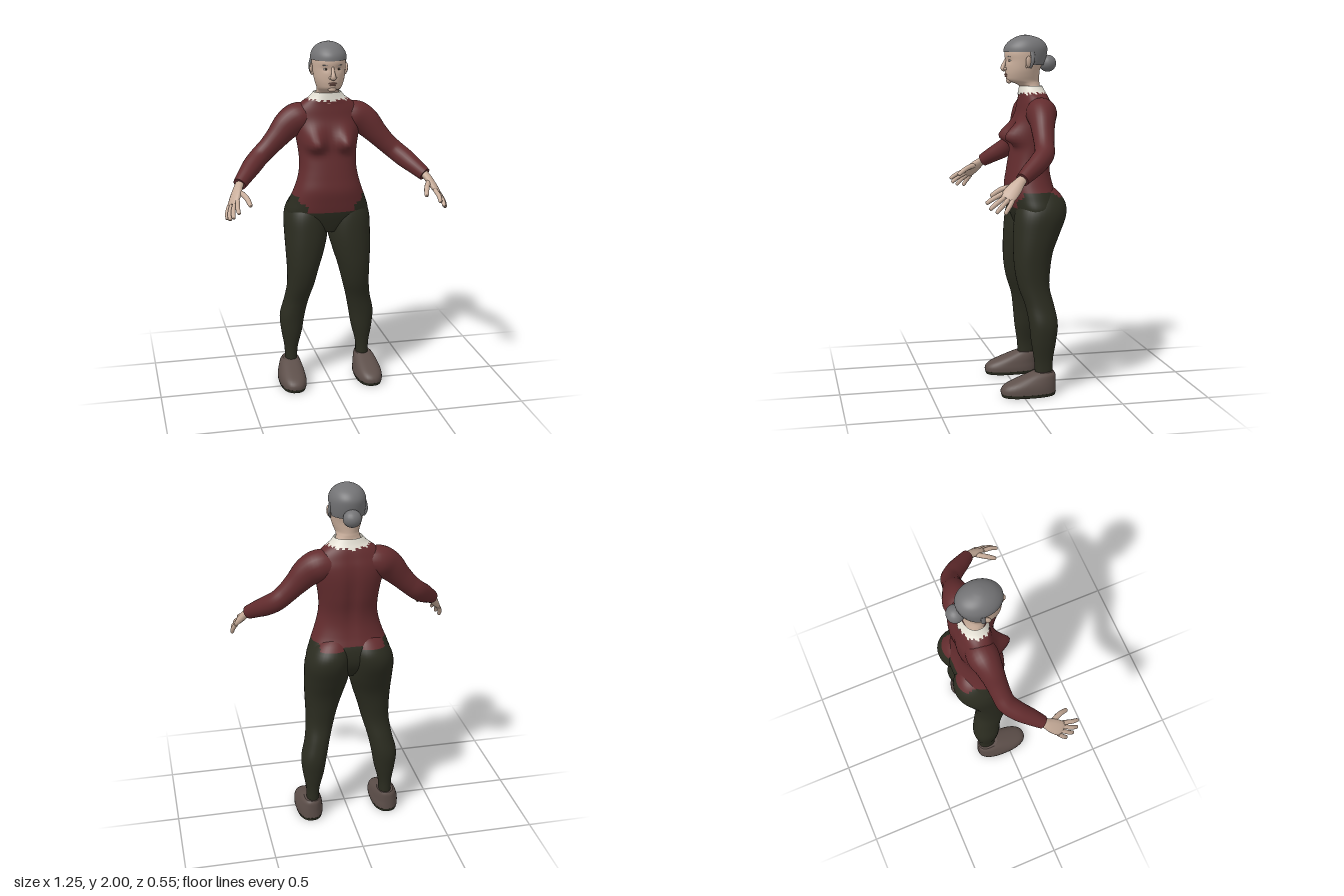
import * as THREE from 'three';

const mat = (name, color) => Object.assign(new THREE.MeshStandardMaterial({ color }), { name });

// Catmull-Rom interpolation of whole rows of numbers, t in 0..1
function rowAt(rows, t) {
  const n = rows.length - 1, s = Math.min(t * n, n - 1e-6), i = Math.floor(s), u = s - i;
  const [a, b, c, d] = [-1, 0, 1, 2].map(k => rows[Math.min(n, Math.max(0, i + k))]);
  return b.map((_, k) => 0.5 * (2 * b[k] + (c[k] - a[k]) * u
    + (2 * a[k] - 5 * b[k] + 4 * c[k] - d[k]) * u * u + (3 * b[k] - a[k] - 3 * c[k] + d[k]) * u ** 3));
}

// Closed-ring surface with capped ends; pick(x, y, z, j) gives the material index of a face, -1 drops it
function surface(rings, segs, point, pick = () => 0, caps = true) {
  const pos = [], faces = {};
  const put = v => pos.push(v.x, v.y, v.z) / 3 - 1;
  const face = (j, ...ids) => {
    const c = [0, 1, 2].map(k => ids.reduce((s, i) => s + pos[i * 3 + k], 0) / ids.length);
    const m = pick(...c, j);
    if (m < 0) return;
    const list = faces[m] ??= [];
    list.push(ids[0], ids[1], ids[2]);
    if (ids.length === 4) list.push(ids[0], ids[2], ids[3]);
  };
  for (let i = 0; i <= rings; i++)
    for (let j = 0; j < segs; j++) put(point(i / rings, j / segs * Math.PI * 2));
  for (let i = 0; i < rings; i++)
    for (let j = 0; j < segs; j++) {
      const k = (j + 1) % segs, a = i * segs, b = a + segs;
      face(j, a + j, b + j, b + k, a + k);
    }
  if (caps) for (const end of [0, 1]) {
    const ring = [], mid = new THREE.Vector3();
    for (let j = 0; j < segs; j++) {
      const v = point(end, j / segs * Math.PI * 2);
      ring.push(put(v));
      mid.addScaledVector(v, 1 / segs);
    }
    const c = put(mid);
    ring.forEach((r, j) => {
      const q = ring[(j + 1) % segs];
      end ? face(j, r, c, q) : face(j, r, q, c);
    });
  }
  const g = new THREE.BufferGeometry(), index = [];
  for (const m in faces) {
    g.addGroup(index.length, faces[m].length, +m);
    index.push(...faces[m]);
  }
  g.setAttribute('position', new THREE.Float32BufferAttribute(pos, 3));
  g.setIndex(index);
  g.computeVertexNormals();
  return g;
}

// Upright loft; rows are [y, centreX, halfWidth, zFront, zBack]
function loft(rows, { rings = 40, segs = 36, power = 2, pick, bump = () => 0, caps = true } = {}) {
  const pw = v => Math.sign(v) * Math.abs(v) ** (2 / power);
  return surface(rings, segs, (t, a) => {
    const [y, cx, rx, zf, zb] = rowAt(rows, t);
    const x = cx + rx * pw(Math.cos(a)), s = pw(Math.sin(a));
    return new THREE.Vector3(x, y, (zf + zb) / 2 + (zf - zb) / 2 * s + bump(x, y, s));
  }, pick, caps);
}

// Tube along a path; rows are [x, y, z, radius along wide, radius across]
function sweep(rows, wide, rings = 12, segs = 12) {
  const at = t => new THREE.Vector3(...rowAt(rows, t).slice(0, 3));
  return surface(rings, segs, (t, a) => {
    const r = rowAt(rows, t);
    const T = at(Math.min(1, t + 0.01)).sub(at(Math.max(0, t - 0.01))).normalize();
    const A = wide.clone().addScaledVector(T, -wide.dot(T)).normalize();
    const B = A.clone().cross(T);
    return new THREE.Vector3(r[0], r[1], r[2])
      .addScaledVector(A, r[3] * Math.cos(a)).addScaledVector(B, r[4] * Math.sin(a));
  });
}

const ball = (x, y, z, rx, ry, rz, turn = 0) =>
  new THREE.SphereGeometry(1, 20, 14).scale(rx, ry, rz).rotateY(turn).translate(x, y, z);

function mirrored(geo) {
  const g = geo.clone().scale(-1, 1, 1), ix = g.index.array;
  for (let i = 0; i < ix.length; i += 3) [ix[i], ix[i + 1]] = [ix[i + 1], ix[i]];
  g.computeVertexNormals();
  return g;
}

export function createModel() {
  const model = new THREE.Group();
  model.name = 'standingWoman';
  const skin = mat('skin', 0xc9ae9b), sweater = mat('sweater red', 0x632c2e), pants = mat('trouser olive', 0x2b2c20);
  const hair = mat('hair grey', 0x737375), shoe = mat('shoe brown', 0x5d4f4a), cloth = mat('collar white', 0xe2ded2);
  const lip = mat('lip', 0x9d7366), eyeWhite = mat('eye white', 0xd8d2ca), dark = mat('eye dark', 0x33281f);
  hair.side = cloth.side = THREE.DoubleSide;

  const add = (name, geo, m) => {
    const mesh = new THREE.Mesh(geo, m);
    mesh.name = name;
    model.add(mesh);
  };
  const pair = (name, geo, m) => {
    add(name + 'Left', geo, m);
    add(name + 'Right', mirrored(geo), m);
  };

  // Stepped sweater hem shared by torso and legs
  const hemPick = (x, y, z) => {
    const w = Math.abs(x);
    const hem = w > 0.18 ? 1.135 : z > -0.1 ? (w < 0.14 ? 1.05 : 1.1) : (w < 0.05 ? 1.13 : 1.1);
    return y > hem ? 0 : 1;
  };
  const bust = (x, y, s) => {
    const dy = y - 1.435, fall = Math.exp(-((dy / (dy > 0 ? 0.07 : 0.036)) ** 2));
    const breast = 0.075 * fall * Math.exp(-(((Math.abs(x) - 0.088) / 0.05) ** 2));
    const spine = 0.014 * Math.exp(-((x / 0.03) ** 2)) * Math.exp(-(((y - 1.4) / 0.2) ** 2));
    return s > 0 ? breast * Math.min(1, s * 1.6) : spine * -s;
  };

  // Torso
  add('torso', loft([
    [0.92, 0, 0.08, -0.02, -0.17], [0.97, 0, 0.19, 0, -0.215], [1.03, 0, 0.237, 0.02, -0.24],
    [1.1, 0, 0.22, 0.035, -0.238], [1.17, 0, 0.193, 0.045, -0.215], [1.24, 0, 0.172, 0.036, -0.2],
    [1.31, 0, 0.162, 0.025, -0.2], [1.4, 0, 0.167, 0.01, -0.215], [1.5, 0, 0.185, -0.003, -0.223],
    [1.57, 0, 0.195, -0.022, -0.217], [1.62, 0, 0.18, -0.03, -0.202], [1.655, 0, 0.15, -0.035, -0.19],
    [1.68, 0, 0.115, -0.037, -0.177], [1.695, 0, 0.08, -0.045, -0.16],
  ], { rings: 70, segs: 56, power: 2.3, pick: hemPick, bump: bust }), [sweater, pants]);

  // Legs and seat
  pair('leg', loft([
    [0.09, 0.216, 0.037, -0.075, -0.172], [0.13, 0.217, 0.036, -0.075, -0.175], [0.2, 0.216, 0.039, -0.07, -0.178],
    [0.3, 0.212, 0.06, -0.055, -0.195], [0.4, 0.207, 0.072, -0.045, -0.206], [0.5, 0.185, 0.071, -0.028, -0.19],
    [0.6, 0.164, 0.078, 0.006, -0.168], [0.7, 0.151, 0.091, 0.025, -0.174], [0.8, 0.138, 0.109, 0.03, -0.192],
    [0.9, 0.127, 0.123, 0.028, -0.232], [1, 0.123, 0.126, 0.018, -0.27], [1.07, 0.113, 0.115, -0.005, -0.27],
    [1.13, 0.1, 0.085, -0.05, -0.235], [1.16, 0.09, 0.05, -0.08, -0.2],
  ], { rings: 54, power: 2.15, pick: hemPick }), [sweater, pants]);

  // Shoes with dark soles
  pair('shoe', loft([
    [0.015, 0.228, 0.077, 0.122, -0.19], [0.04, 0.228, 0.078, 0.122, -0.19], [0.065, 0.228, 0.074, 0.1, -0.19],
    [0.09, 0.226, 0.067, 0.045, -0.19], [0.115, 0.224, 0.057, -0.02, -0.189], [0.13, 0.22, 0.046, -0.06, -0.182],
  ], { rings: 16, power: 2.4 }), shoe);
  pair('sole', loft([[0, 0.228, 0.073, 0.117, -0.186], [0.018, 0.228, 0.078, 0.123, -0.191]],
    { rings: 2, power: 2.4 }), pants);

  // Sleeved arms
  pair('sleeve', sweep([
    [0.1, 1.575, -0.125, 0.075, 0.075], [0.165, 1.57, -0.12, 0.088, 0.085], [0.225, 1.535, -0.11, 0.082, 0.072],
    [0.285, 1.472, -0.1, 0.066, 0.06], [0.34, 1.415, -0.092, 0.057, 0.054], [0.39, 1.37, -0.08, 0.055, 0.054],
    [0.44, 1.328, -0.035, 0.054, 0.052], [0.485, 1.29, 0.02, 0.046, 0.046], [0.527, 1.253, 0.072, 0.038, 0.036],
  ], new THREE.Vector3(0.5, 1, 0), 40, 24), sweater);

  // Hands: palm, four fingers and thumb
  const across = new THREE.Vector3(-0.045, 0.035, 0.06);
  pair('palm', sweep([
    [0.515, 1.265, 0.055, 0.026, 0.023], [0.535, 1.243, 0.085, 0.029, 0.022], [0.553, 1.212, 0.118, 0.04, 0.021],
    [0.572, 1.178, 0.152, 0.043, 0.017], [0.58, 1.163, 0.167, 0.037, 0.011],
  ], across), skin);
  const fingers = [
    ['indexFinger', [0.554, 1.188, 0.182], [0.562, 1.165, 0.232], [0.56, 1.142, 0.266]],
    ['middleFinger', [0.568, 1.174, 0.17], [0.585, 1.142, 0.22], [0.587, 1.115, 0.252]],
    ['ringFinger', [0.583, 1.163, 0.155], [0.6, 1.128, 0.195], [0.603, 1.098, 0.222]],
    ['littleFinger', [0.594, 1.155, 0.138], [0.609, 1.12, 0.162], [0.612, 1.092, 0.18]],
    ['thumb', [0.54, 1.225, 0.115], [0.508, 1.205, 0.178], [0.492, 1.172, 0.226]],
  ];
  for (const [name, a, b, c] of fingers) {
    const tip = c.map((v, k) => v + (c[k] - b[k]) * 0.12);
    const r = name === 'thumb' ? 0.0145 : 0.0125;
    pair(name, sweep([[...a, r, r], [...b, r, r], [...c, r * 0.8, r * 0.8], [...tip, r * 0.25, r * 0.25]], across, 12, 10), skin);
  }

  // Neck and head, with shallow eye sockets
  const sockets = (x, y, s) => s < 0 ? 0
    : -0.007 * Math.exp(-(((Math.abs(x) - 0.036) / 0.02) ** 2) - ((y - 1.86) / 0.014) ** 2);
  add('head', loft([
    [1.66, 0, 0.1, -0.035, -0.175], [1.69, 0, 0.076, -0.042, -0.158], [1.715, 0, 0.066, -0.038, -0.15],
    [1.733, 0, 0.063, -0.008, -0.148], [1.748, 0, 0.067, 0.033, -0.146], [1.775, 0, 0.077, 0.044, -0.146],
    [1.81, 0, 0.086, 0.047, -0.15], [1.86, 0, 0.092, 0.047, -0.168], [1.9, 0, 0.094, 0.05, -0.18],
    [1.94, 0, 0.088, 0.036, -0.175], [1.97, 0, 0.065, 0, -0.14], [1.985, 0, 0.03, -0.03, -0.1],
  ], { rings: 60, segs: 48, bump: sockets }), skin);

  // Ragged collar
  add('collar', loft([
    [1.652, 0, 0.155, -0.029, -0.197], [1.675, 0, 0.124, -0.03, -0.184], [1.692, 0, 0.1, -0.032, -0.174],
    [1.718, 0, 0.078, -0.035, -0.162],
  ], { rings: 12, segs: 48, power: 2.15, caps: false,
    pick: (x, y, z, j) => y > 1.664 + [0, 0.006, 0.013, 0.004, 0.01][j % 5] + Math.abs(x) * 0.08 ? 0 : -1 }), [cloth]);

  // Hair cap, bun and locks round the ears
  add('hairCap', loft([
    [1.8, 0, 0.086, 0.045, -0.155], [1.85, 0, 0.096, 0.052, -0.177], [1.9, 0, 0.1, 0.056, -0.19],
    [1.935, 0, 0.096, 0.05, -0.19], [1.965, 0, 0.08, 0.024, -0.17], [1.985, 0, 0.056, -0.008, -0.137],
    [1.997, 0, 0.026, -0.04, -0.095], [2, 0, 0.005, -0.06, -0.072],
  ], { rings: 40, segs: 48,
    pick: (x, y, z) => y > (z > -0.085 ? 1.903 + Math.max(0, 0.02 - Math.abs(x)) * 0.3 : 1.832) ? 0 : -1 }), [hair]);
  add('bun', ball(0, 1.843, -0.196, 0.05, 0.047, 0.048), hair);
  pair('hairLock', sweep([
    [0.093, 1.905, -0.085, 0.008, 0.012], [0.1, 1.872, -0.088, 0.008, 0.012],
    [0.1, 1.845, -0.084, 0.007, 0.01], [0.092, 1.818, -0.075, 0.004, 0.005],
  ], new THREE.Vector3(1, 0, 0), 10, 10), hair);

  // Ears
  pair('ear', ball(0.098, 1.853, -0.063, 0.009, 0.03, 0.018, 0.4), skin);
  pair('earLobe', ball(0.094, 1.828, -0.057, 0.007, 0.011, 0.01), skin);

  // Face
  add('nose', sweep([
    [0, 1.872, 0.042, 0.007, 0.006], [0, 1.85, 0.05, 0.009, 0.009], [0, 1.825, 0.06, 0.013, 0.012],
    [0, 1.812, 0.06, 0.016, 0.012], [0, 1.803, 0.05, 0.01, 0.006],
  ], new THREE.Vector3(1, 0, 0)), skin);
  pair('nostril', ball(0.014, 1.813, 0.048, 0.008, 0.008, 0.012), skin);
  pair('eye', ball(0.036, 1.859, 0.027, 0.014, 0.0065, 0.008, 0.35), eyeWhite);
  pair('iris', ball(0.036, 1.859, 0.0335, 0.006, 0.006, 0.003, 0.2), dark);
  pair('brow', ball(0.037, 1.88, 0.036, 0.018, 0.003, 0.004, 0.4), hair);
  add('upperLip', ball(0, 1.782, 0.044, 0.023, 0.005, 0.008), lip);
  add('lowerLip', ball(0, 1.773, 0.043, 0.019, 0.0055, 0.008), lip);
  add('chin', ball(0, 1.748, 0.025, 0.024, 0.016, 0.017), skin);
  return model;
}
